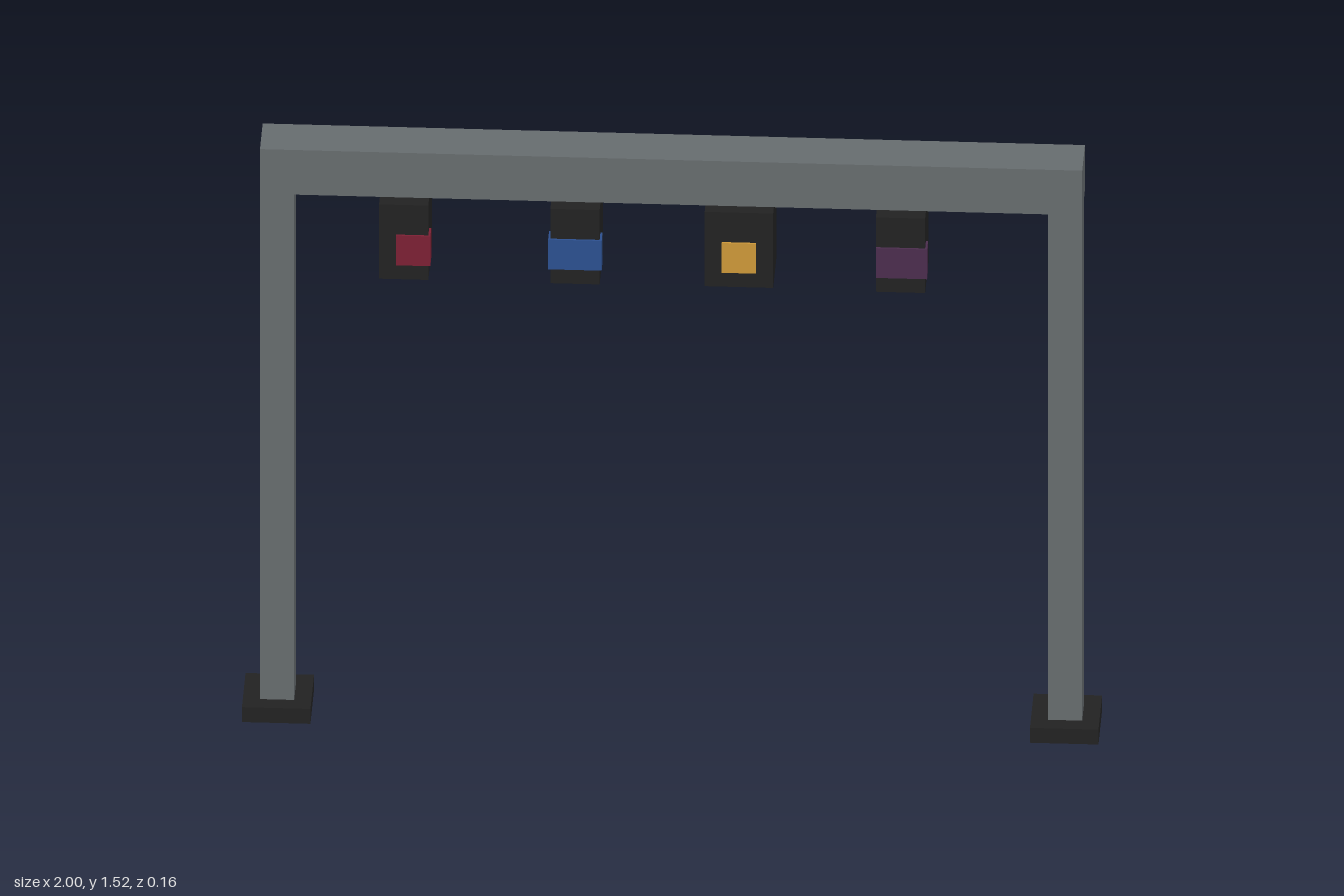
import * as THREE from 'three';

function material(name, hex) {
  const m = new THREE.MeshStandardMaterial({ color: hex });
  m.name = name;
  return m;
}

export function createModel() {
  const model = new THREE.Group();
  model.name = 'signalGantry';
  const steel = material('steel grey', 0x666c6e);
  const black = material('matt black', 0x222222);
  const red = material('dark red', 0x7c2034);
  const blue = material('blue', 0x2c5090);
  const amber = material('amber', 0xcd9838);
  const purple = material('purple', 0x4b2d4e);

  // Box given by its extents along each axis
  function box(name, mat, [x0, x1], [y0, y1], [z0, z1], parent = model) {
    const mesh = new THREE.Mesh(new THREE.BoxGeometry(x1 - x0, y1 - y0, z1 - z0), mat);
    mesh.position.set((x0 + x1) / 2, (y0 + y1) / 2, (z0 + z1) / 2);
    mesh.name = name;
    parent.add(mesh);
  }

  // Crossbeam, set back from the posts
  box('crossbeam', steel, [-0.96, 0.96], [1.4, 1.52], [-0.08, 0.04]);

  // Square foot plate with a socket below the post
  function square(target, half) {
    return target.moveTo(-half, -half).lineTo(half, -half).lineTo(half, half).lineTo(-half, half).closePath();
  }
  const footShape = square(new THREE.Shape(), 0.08);
  footShape.holes.push(square(new THREE.Path(), 0.04));
  const footGeometry = new THREE.ExtrudeGeometry(footShape, { depth: 0.04, bevelEnabled: false });
  footGeometry.rotateX(-Math.PI / 2);

  for (const side of [-1, 1]) {
    const name = side > 0 ? 'left' : 'right';
    const x = side * 0.92;
    box(name + 'Post', steel, [x - 0.04, x + 0.04], [0.035, 1.4], [-0.04, 0.04]);
    const foot = new THREE.Mesh(footGeometry, black);
    foot.position.x = x;
    foot.name = name + 'Foot';
    model.add(foot);
  }

  // Hanging units, each with a coloured block on its front
  const units = [
    { name: 'red', mat: red, body: [-0.68, -0.565], lens: [-0.64, -0.56], front: 0.075 },
    { name: 'blue', mat: blue, body: [-0.28, -0.165], lens: [-0.285, -0.16], front: 0.075 },
    { name: 'amber', mat: amber, body: [0.08, 0.24], lens: [0.12, 0.2], front: 0.07 },
    { name: 'purple', mat: purple, body: [0.48, 0.595], lens: [0.48, 0.6], front: 0.075 },
  ];
  for (const u of units) {
    const unit = new THREE.Group();
    unit.name = u.name + 'Unit';
    box(u.name + 'Housing', black, u.body, [1.2, 1.4], [-0.08, u.front], unit);
    box(u.name + 'Lens', u.mat, u.lens, [1.24, 1.32], [0.04, u.front + 0.005], unit);
    model.add(unit);
  }
  return model;
}
